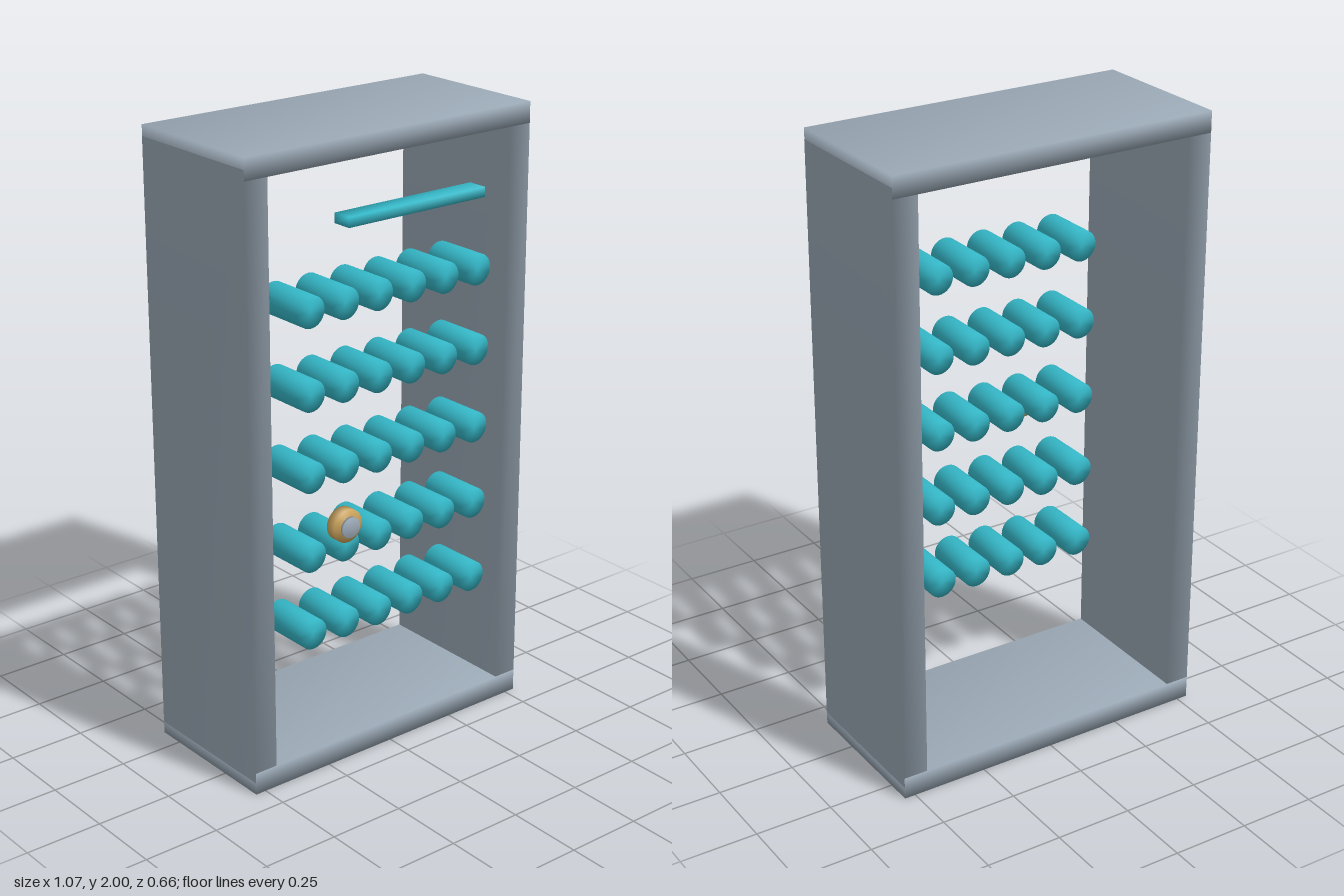
import * as THREE from 'three';
import { mergeVertices } from 'three/addons/utils/BufferGeometryUtils.js';

// Weld a primitive so its shading runs smoothly over the edges
function soften(geometry) {
  geometry.deleteAttribute('normal');
  geometry.deleteAttribute('uv');
  const welded = mergeVertices(geometry, 1e-4);
  welded.computeVertexNormals();
  return welded;
}

function material(name, color) {
  const m = new THREE.MeshStandardMaterial({ color });
  m.name = name;
  return m;
}

export function createModel() {
  const model = new THREE.Group();
  model.name = 'doorFrame';
  const steel = material('blueGreySteel', 0x9aa8b5);
  const teal = material('teal', 0x35b8c8);
  const brass = material('brass', 0xc9a25c);

  function add(parent, name, geometry, mat, x, y, z) {
    const mesh = new THREE.Mesh(geometry, mat);
    mesh.name = name;
    mesh.position.set(x, y, z);
    parent.add(mesh);
    return mesh;
  }
  const box = (w, h, d) => soften(new THREE.BoxGeometry(w, h, d));
  // Cylinder lying along z
  const disc = (r, length) => soften(new THREE.CylinderGeometry(r, r, length, 32).rotateX(Math.PI / 2));

  // Frame: two posts between a top and a bottom slab (tiny offsets avoid coplanar faces)
  const frame = new THREE.Group();
  frame.name = 'frame';
  model.add(frame);
  const zFrame = -0.085;
  for (const [side, name] of [[1, 'leftPost'], [-1, 'rightPost']]) {
    add(frame, name, box(0.081, 1.925, 0.494), steel, side * 0.4965, 1.0025, zFrame);
  }
  add(frame, 'topSlab', box(1.072, 0.067, 0.496), steel, 0, 1.9665, zFrame);
  add(frame, 'bottomSlab', box(1.072, 0.072, 0.496), steel, 0, 0.036, zFrame);

  // Grid of round pegs
  const pegs = new THREE.Group();
  pegs.name = 'pegs';
  model.add(pegs);
  const pegGeometry = disc(0.05, 0.175);
  for (let row = 0; row < 5; row++) {
    for (let col = 0; col < 6; col++) {
      add(pegs, 'peg', pegGeometry, teal, -0.322 + col * 0.1285, 0.488 + row * 0.257, 0.0925);
    }
  }

  // Bar above the pegs
  add(model, 'topBar', box(0.513, 0.031, 0.065), teal, 0, 1.79, 0.241);

  // Knob with a small cap floating in front
  add(model, 'knob', disc(0.052, 0.034), brass, -0.296, 0.886, 0.298);
  add(model, 'knobCap', disc(0.032, 0.009), steel, -0.296, 0.886, 0.327);

  return model;
}
